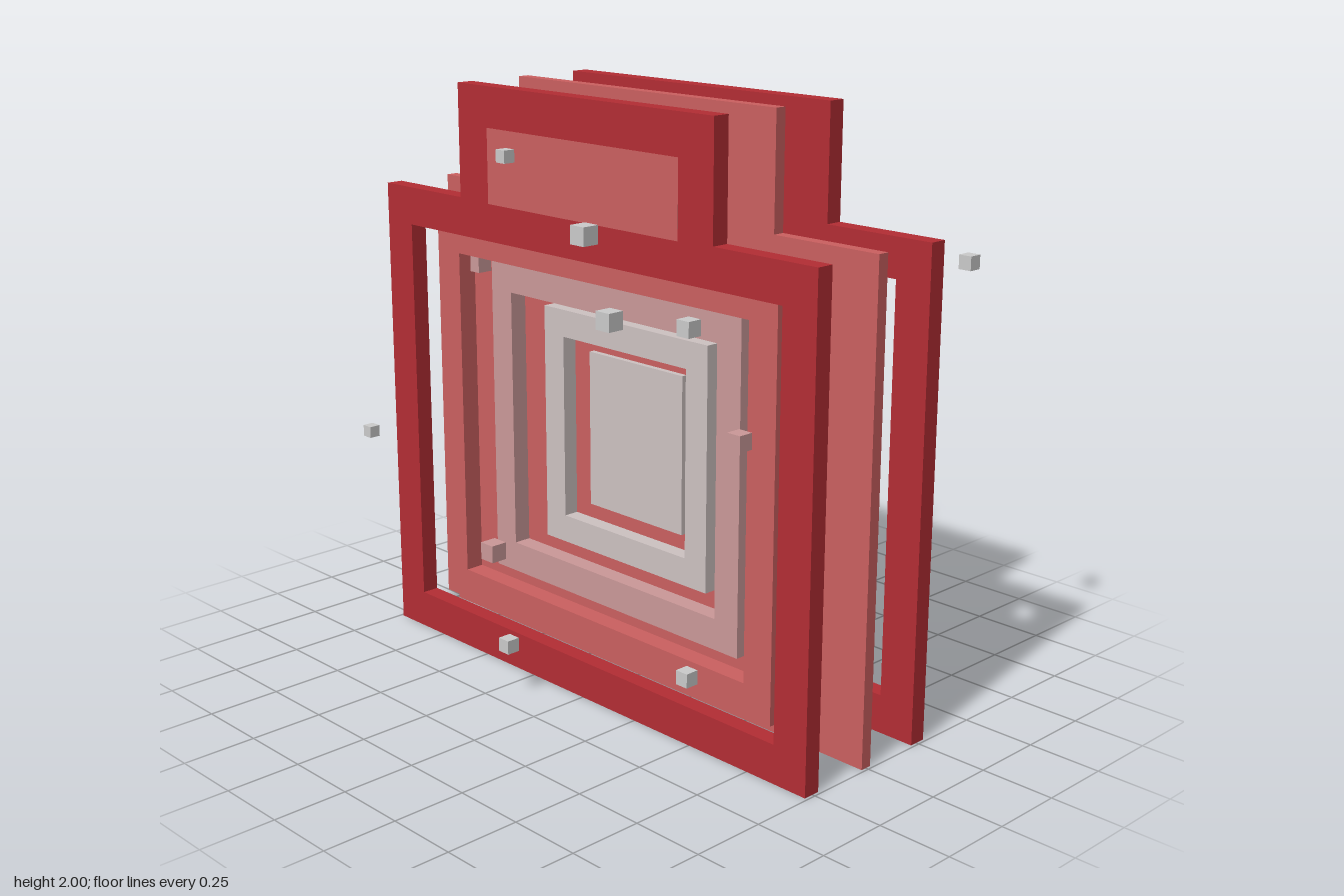
import * as THREE from 'three';

const mat = (color) => new THREE.MeshStandardMaterial({ color, flatShading: true });
const darkRed = mat(0xb42d34);
const midRed = mat(0xcc6060);
const pink = mat(0xcc9999);
const pale = mat(0xcec3c2);
const grey = mat(0xcccccc);

// Rectangle symmetric in x, as a list of corners
const rect = (w, y0, y1) => [[-w, y0], [w, y0], [w, y1], [-w, y1]].map(([x, y]) => new THREE.Vector2(x, y));

// Square slab with a raised tab on top
const tabbed = () => [
  [-0.99, 0], [0.99, 0], [0.99, 1.62], [0.585, 1.62],
  [0.585, 2], [-0.585, 2], [-0.585, 1.62], [-0.99, 1.62],
].map(([x, y]) => new THREE.Vector2(x, y));

// Flat plate between z0 and z1, with an optional opening
function plate(name, outline, hole, z0, z1, material) {
  const shape = new THREE.Shape(outline);
  if (hole) shape.holes.push(new THREE.Path(hole));
  const geo = new THREE.ExtrudeGeometry(shape, { depth: z1 - z0, bevelEnabled: false });
  geo.translate(0, 0, z0);
  const mesh = new THREE.Mesh(geo, material);
  mesh.name = name;
  return mesh;
}

function box(name, size, pos, material) {
  const mesh = new THREE.Mesh(new THREE.BoxGeometry(...size), material);
  mesh.position.set(...pos);
  mesh.name = name;
  return mesh;
}

// Floating cubes: x, y, z, edge, material
const cubes = [
  [-0.06, 1.84, 0.525, 0.04, grey],
  [0.15, 1.61, 0.395, 0.06, grey],
  [0.83, 1.48, 0.63, 0.047, grey],
  [0.39, 1.405, 0.515, 0.057, grey],
  [-0.66, 1.365, 0.148, 0.055, pink],
  [0.67, 1.04, 0.25, 0.053, pink],
  [-0.75, 0.83, 0.565, 0.038, grey],
  [-0.455, 0.4, 0.283, 0.061, pink],
  [0.55, 0.27, 0.345, 0.047, grey],
  [-0.18, 0.185, 0.45, 0.047, grey],
];

export function createModel() {
  const model = new THREE.Group();
  model.name = 'layeredFrame';

  // Solid middle plate and the core block through it
  model.add(plate('middlePlate', tabbed(), null, -0.02, 0.02, midRed));
  model.add(box('coreBlock', [0.44, 0.54, 0.08], [0, 0.842, 0], pale));

  // Everything else is repeated on the front and the back
  for (const [side, s] of [['front', 1], ['back', -1]]) {
    const half = new THREE.Group();
    half.name = side + 'Layers';
    const layer = (name, outline, hole, z0, z1, material) =>
      half.add(plate(name, outline, hole, s > 0 ? z0 : -z1, s > 0 ? z1 : -z0, material));

    // Outer frame, then rings stepping down towards the middle
    layer('outerFrame', tabbed(), rect(0.86, 0.13, 1.49), 0.224, 0.284, darkRed);
    layer('largeRing', rect(0.79, 0.145, 1.52), rect(0.677, 0.253, 1.407), 0.157, 0.224, midRed);
    layer('mediumRing', rect(0.585, 0.285, 1.395), rect(0.485, 0.39, 1.29), 0.095, 0.157, pink);
    layer('smallRing', rect(0.385, 0.43, 1.253), rect(0.29, 0.525, 1.16), 0.041, 0.095, pale);

    // Flush panel on the tab
    half.add(box('tabPanel', [0.88, 0.25, 0.02], [0, 1.74, s * 0.2745], midRed));

    for (const [x, y, z, e, m] of cubes) half.add(box('floatingCube', [e, e, e], [x, y, s * z], m));
    model.add(half);
  }
  return model;
}
